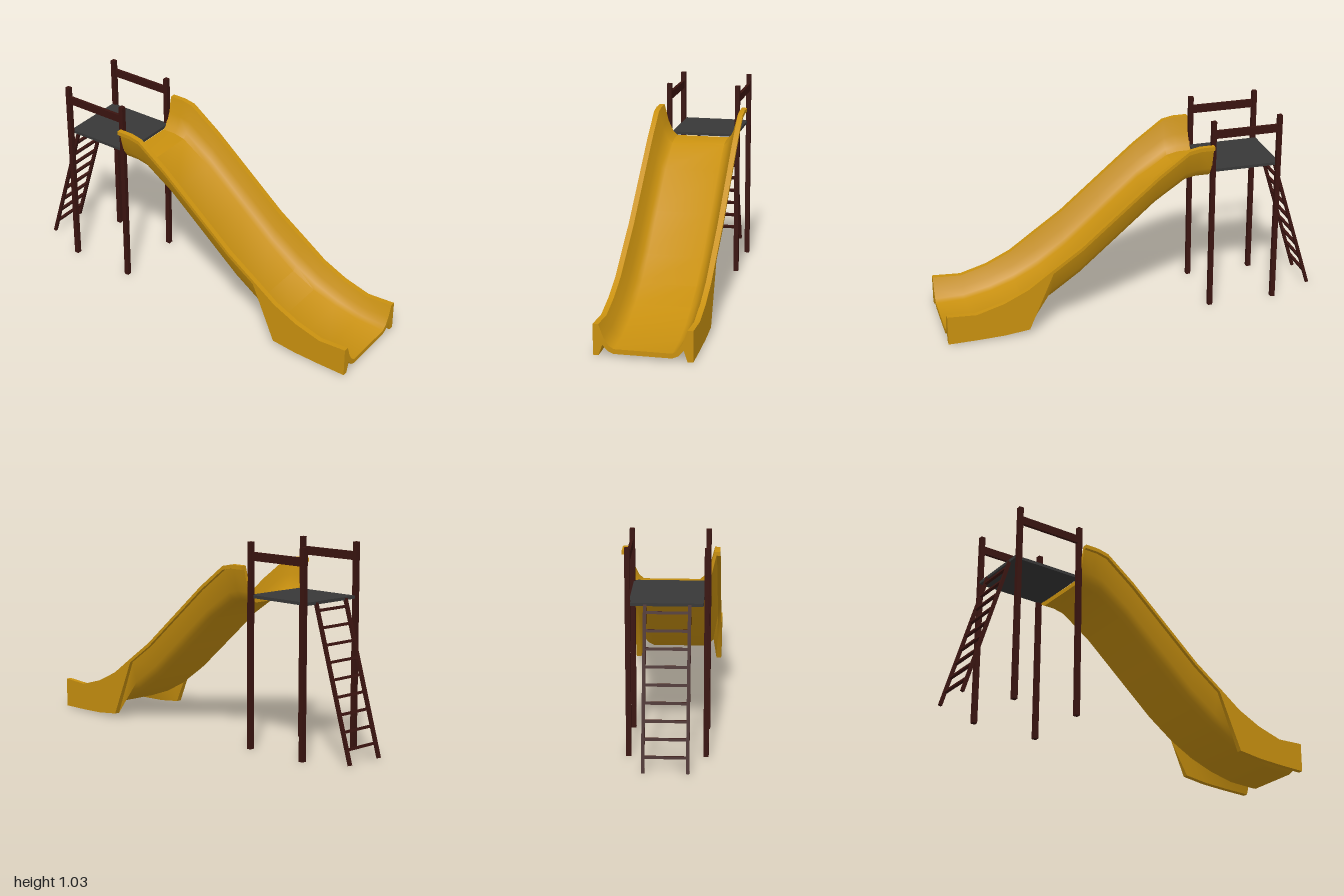
import * as THREE from 'three';
import { toCreasedNormals } from 'three/addons/utils/BufferGeometryUtils.js';

const yellow = new THREE.MeshStandardMaterial({ color: 0xc8900f });
const brown = new THREE.MeshStandardMaterial({ color: 0x3a1410 });
const dark = new THREE.MeshStandardMaterial({ color: 0x383838 });

function box(name, size, position, material = brown) {
  const mesh = new THREE.Mesh(new THREE.BoxGeometry(...size), material);
  mesh.position.set(...position);
  mesh.name = name;
  return mesh;
}

// Slide stations: x, rim height, underside height, lower edge of the side flange
const stations = [
  [-0.395, 0.92, 0.73, 0.9], [-0.32, 0.92, 0.73, 0.9], [-0.26, 0.908, 0.717, 0.888],
  [-0.1, 0.79, 0.61, 0.77], [0.1, 0.62, 0.437, 0.6], [0.3, 0.45, 0.265, 0.43],
  [0.45, 0.345, 0.16, 0.325], [0.58, 0.252, 0.095, 0.025], [0.71, 0.19, 0.05, 0.01],
  [0.85, 0.149, 0.02, 0.005], [1, 0.157, 0.015, 0.003],
];

// Closed trough outline as [z, y]: inner surface from +z to -z, then back underneath
function section([, top, bottom, skirt]) {
  const floor = bottom + 0.024;
  const rise = top - floor;
  const h = top - bottom;
  const skirtZ = top - skirt < 0.05 ? 0.222 : 0.213;
  const inner = [[0.213, top], [0.19, floor + 0.47 * rise], [0.165, floor + 0.13 * rise], [0.14, floor]];
  const outer = [[0.14, bottom], [0.17, bottom + 0.09 * h], [0.195, bottom + 0.29 * h],
    [skirtZ, skirt], [0.24, skirt], [0.24, top]];
  const mirror = (points) => points.map(([z, y]) => [-z, y]);
  return [...inner, ...mirror(inner).reverse(), ...mirror(outer).reverse(), ...outer];
}

function slideGeometry() {
  const rings = stations.map(section);
  const n = rings[0].length;
  const positions = [];
  const index = [];
  rings.forEach((ring, i) => ring.forEach(([z, y]) => positions.push(stations[i][0], y, z)));
  for (let i = 0; i < rings.length - 1; i++) {
    for (let j = 0; j < n; j++) {
      const a = i * n + j;
      const b = i * n + (j + 1) % n;
      index.push(a, a + n, b, b, a + n, b + n);
    }
  }
  // End caps: the first faces -x, the last +x
  for (const i of [0, rings.length - 1]) {
    const contour = rings[i].map(([z, y]) => new THREE.Vector2(-z, y));
    for (const [a, b, c] of THREE.ShapeUtils.triangulateShape(contour, [])) {
      const area = THREE.ShapeUtils.area([contour[a], contour[b], contour[c]]);
      const tri = (area > 0) === (i > 0) ? [a, b, c] : [a, c, b];
      index.push(...tri.map((k) => k + i * n));
    }
  }
  const geometry = new THREE.BufferGeometry();
  geometry.setAttribute('position', new THREE.Float32BufferAttribute(positions, 3));
  geometry.setIndex(index);
  return toCreasedNormals(geometry, 0.65);
}

// Leaning ladder with two stringers and evenly spaced rungs
function createLadder() {
  const ladder = new THREE.Group();
  ladder.name = 'ladder';
  const foot = new THREE.Vector3(-0.99, 0.01, 0);
  const head = new THREE.Vector3(-0.762, 0.765, 0);
  const length = foot.distanceTo(head);
  ladder.position.copy(foot);
  ladder.rotation.z = -Math.atan2(head.x - foot.x, head.y - foot.y);
  for (const side of [1, -1]) {
    ladder.add(box('ladderStringer', [0.016, length, 0.016], [0, length / 2, side * 0.105]));
  }
  for (let i = 0; i < 9; i++) {
    ladder.add(box('ladderRung', [0.014, 0.014, 0.2], [0, length * (0.095 + i * 0.107), 0]));
  }
  return ladder;
}

export function createModel() {
  const model = new THREE.Group();
  model.name = 'playgroundSlide';

  const slide = new THREE.Mesh(slideGeometry(), yellow);
  slide.name = 'slide';
  model.add(slide);

  // Tower: platform, four posts and two hand rails
  model.add(box('platform', [0.375, 0.015, 0.35], [-0.58, 0.765, -0.005], dark));
  for (const side of [1, -1]) {
    for (const x of [-0.757, -0.404]) {
      model.add(box('post', [0.024, 1.035, 0.025], [x, 0.5175, side * 0.186]));
    }
    model.add(box('handRail', [0.353, 0.042, 0.015], [-0.58, 0.965, side * 0.188]));
  }

  model.add(createLadder());
  return model;
}
